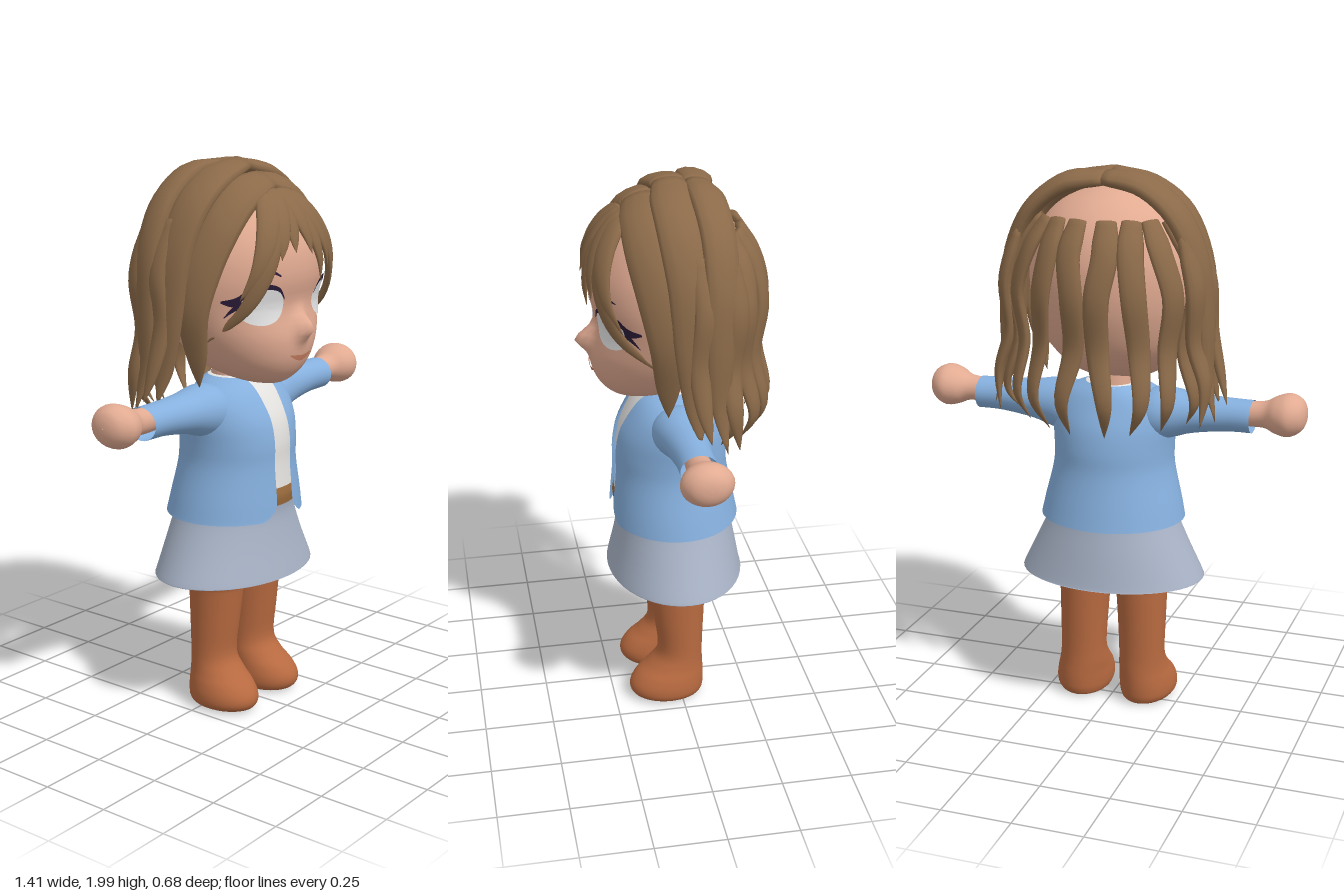
import * as THREE from 'three';
import { mergeVertices } from 'three/addons/utils/BufferGeometryUtils.js';

const V = (x, y, z) => new THREE.Vector3(x, y, z);

function material(name, color, side = THREE.FrontSide) {
  const m = new THREE.MeshStandardMaterial({ color, side });
  m.name = name;
  return m;
}

// Smooth surface from a rule p(u, v), with matching corners welded
function grid(nu, nv, p) {
  const pos = [], idx = [], w = nu + 1;
  for (let j = 0; j <= nv; j++) for (let i = 0; i <= nu; i++) pos.push(...p(i / nu, j).toArray());
  for (let j = 0; j < nv; j++) for (let i = 0; i < nu; i++) {
    const a = j * w + i;
    idx.push(a, a + 1, a + w + 1, a, a + w + 1, a + w);
  }
  let g = new THREE.BufferGeometry();
  g.setAttribute('position', new THREE.Float32BufferAttribute(pos, 3));
  g.setIndex(idx);
  g = mergeVertices(g, 1e-5);
  g.computeVertexNormals();
  return g;
}

// Adds in-between rows by Catmull-Rom
function smooth(rows, n = 4) {
  const out = [], at = i => rows[Math.max(0, Math.min(rows.length - 1, i))];
  for (let i = 0; i < rows.length - 1; i++) for (let k = 0; k < n; k++) {
    const t = k / n;
    out.push(at(i).map((b, c) => {
      const a = at(i - 1)[c], d = at(i + 1)[c], e = at(i + 2)[c];
      return b + 0.5 * t * (d - a + t * (2 * a - 5 * b + 4 * d - e + t * (3 * (b - d) + e - a)));
    }));
  }
  out.push(rows[rows.length - 1]);
  return out;
}

// Upright loft; rows are [y, centre x, half width, front z, back z], gap(y) opens the front
function loftY(rows, seg = 40, gap = null) {
  const r = smooth(rows);
  return grid(seg, r.length - 1, (u, j) => {
    const [y, cx, w, zf, zb] = r[j];
    const g = gap ? Math.asin(Math.min(0.9, gap(y) / w)) : 0;
    const a = g + u * (2 * Math.PI - 2 * g);
    return V(cx + w * Math.sin(a), y, (zf + zb) / 2 + (zf - zb) / 2 * Math.cos(a));
  });
}

// Sideways loft for the arms; rows are [x, y, half height, half depth]
function loftX(rows, s) {
  const r = smooth(rows);
  if (s < 0) r.reverse();
  return grid(28, r.length - 1, (u, j) => {
    const [x, y, h, d] = r[j], a = u * 2 * Math.PI;
    return V(s * x, y + h * Math.cos(a), 0.008 + d * Math.sin(a));
  });
}

// Flattened lock of hair along a curve, tapering to a point
function lock(points, width, thick, power = 4) {
  const curve = new THREE.CatmullRomCurve3(points), n = 26;
  return grid(12, n + 1, (u, j) => {
    const t = Math.max(0, j - 1) / n;
    const p = curve.getPoint(t), T = curve.getTangent(t);
    const N = p.clone().sub(V(0, Math.min(p.y, 1.6), 0));
    N.addScaledVector(T, -N.dot(T)).normalize();
    const B = T.clone().cross(N);
    const k = j === 0 ? 0 : Math.min(1, 0.75 + t * 2) * (1 - t ** power);
    const a = -u * 2 * Math.PI;
    return p.addScaledVector(B, -width * k * Math.cos(a)).addScaledVector(N, -thick * k * Math.sin(a));
  });
}

// Head rows: [y, half width, front z, back z]
const headRows = smooth([
  [1.215, 0.001, 0.17, 0.168], [1.222, 0.06, 0.21, 0.06], [1.245, 0.12, 0.245, -0.02], [1.28, 0.175, 0.275, -0.1],
  [1.33, 0.222, 0.295, -0.16], [1.4, 0.265, 0.3, -0.21], [1.5, 0.297, 0.28, -0.25], [1.6, 0.31, 0.3, -0.265],
  [1.7, 0.3, 0.29, -0.26], [1.8, 0.26, 0.24, -0.22], [1.87, 0.19, 0.17, -0.15], [1.91, 0.09, 0.09, -0.07], [1.92, 0.001, 0.02, 0.018],
]);
const middle = r => Math.max(0.05, (r[2] + r[3]) / 2);
const nose = (x, y) => 0.058 * Math.exp(-((x / 0.032) ** 2) - ((y - 1.43) / 0.04) ** 2);

// Depth of the face surface at a point
function faceZ(x, y) {
  let i = 1;
  while (i < headRows.length - 1 && headRows[i][0] < y) i++;
  const a = headRows[i - 1], b = headRows[i], t = Math.min(1, (y - a[0]) / (b[0] - a[0]));
  const r = a.map((v, k) => v + (b[k] - v) * t), c = middle(r);
  return c + (r[2] - c) * Math.sqrt(Math.max(0, 1 - (x / r[1]) ** 2)) + nose(x, y);
}

// Thin painted stroke on the face; points are [x, y, half thickness]
function stroke(points, lift) {
  const r = smooth(points, 5);
  return grid(2, r.length - 1, (u, j) => {
    const [x, y, h] = r[j], yy = y + (u * 2 - 1) * h;
    return V(x, yy, faceZ(x, yy) + lift);
  });
}

export function createModel() {
  const D = THREE.DoubleSide;
  const skin = material('skin', 0xe2ab92), hair = material('hair brown', 0x8b6a49);
  const blue = material('jacket blue', 0x86b0de, D), grey = material('skirt grey', 0xa8b3c6, D);
  const leather = material('boot leather', 0xb86a40), white = material('shirt white', 0xe6e4e1);
  const eyeWhite = material('eye white', 0xf2f2f2, D), dark = material('lash dark', 0x2b1c38, D);
  const lip = material('lip', 0xc98062, D), brown = material('belt brown', 0x9c6c3d);
  const model = new THREE.Group();
  const add = (name, geometry, mat) => {
    const m = new THREE.Mesh(geometry, mat);
    m.name = name;
    model.add(m);
    return m;
  };

  // Head and neck
  add('head', grid(96, headRows.length - 1, (u, j) => {
    const r = headRows[j], a = u * 2 * Math.PI, c = middle(r), x = r[1] * Math.sin(a), k = Math.cos(a);
    return V(x, r[0], c + k * (k > 0 ? r[2] - c : c - r[3]) + (k > 0 ? nose(x, r[0]) : 0));
  }), skin);
  add('neck', new THREE.CylinderGeometry(0.075, 0.085, 0.16, 28).translate(0, 1.23, 0), skin);

  // Face
  for (const s of [1, -1]) {
    const eye = new THREE.RingGeometry(0, 1, 36, 6), p = eye.attributes.position;
    for (let i = 0; i < p.count; i++) {
      const x = s * 0.16 + p.getX(i) * 0.077, y = 1.513 + p.getY(i) * 0.064;
      p.setXYZ(i, x, y, faceZ(x, y) + 0.006);
    }
    eye.computeVertexNormals();
    add('eye', eye, eyeWhite);
    add('upperLash', stroke([[0.085, 1.535, 0.003], [0.115, 1.57, 0.007], [0.165, 1.582, 0.009], [0.215, 1.568, 0.012],
      [0.245, 1.535, 0.016], [0.275, 1.535, 0.004]].map(([x, y, h]) => [s * x, y, h]), 0.009), dark);
    add('lashWing', stroke([[0.23, 1.525, 0.012], [0.25, 1.505, 0.01], [0.262, 1.48, 0.002]]
      .map(([x, y, h]) => [s * x, y, h]), 0.009), dark);
    add('eyebrow', stroke([[0.11, 1.615, 0.003], [0.16, 1.638, 0.007], [0.215, 1.628, 0.002]]
      .map(([x, y, h]) => [s * x, y, h]), 0.006), dark);
  }
  add('mouth', stroke([[-0.06, 1.335, 0.002], [-0.03, 1.325, 0.008], [0, 1.32, 0.01], [0.03, 1.325, 0.008], [0.06, 1.335, 0.002]], 0.006), lip);

  // Shirt, belt, jacket and skirt
  const coat = [[0.73, 0, 0.265, 0.24, -0.23], [0.8, 0, 0.25, 0.235, -0.215], [0.92, 0, 0.222, 0.225, -0.19], [1, 0, 0.22, 0.225, -0.185],
    [1.08, 0, 0.225, 0.21, -0.17], [1.15, 0, 0.215, 0.175, -0.14], [1.2, 0, 0.17, 0.14, -0.115], [1.23, 0, 0.1, 0.105, -0.09]];
  const shrink = (rows, k) => rows.map(([y, x, w, f, b]) => [y, x, w * k, f * k, b * k]);
  add('shirt', loftY([...shrink(coat.slice(1), 0.94), [1.232, 0, 0.001, 0.001, -0.001]]), white);
  add('belt', loftY(shrink([[0.775, 0, 0.245, 0.23, -0.21], [0.81, 0, 0.245, 0.235, -0.21], [0.84, 0, 0.24, 0.23, -0.205]], 0.965)), brown);
  add('jacket', loftY(coat, 56, y => 0.045 + 0.06 * Math.max(0, (0.8 - y) / 0.07) ** 2.5 + 0.01 * Math.max(0, (y - 1.1) / 0.13)), blue);
  add('skirt', loftY([[0.51, 0, 0.342, 0.25, -0.245], [0.525, 0, 0.337, 0.247, -0.24], [0.63, 0, 0.285, 0.225, -0.22],
    [0.73, 0, 0.24, 0.21, -0.2], [0.79, 0, 0.228, 0.215, -0.195]], 48), grey);
  add('hips', new THREE.SphereGeometry(1, 32, 20).scale(0.205, 0.1, 0.15).translate(0, 0.67, 0), skin);

  for (const s of [1, -1]) {
    // Arms
    add('sleeve', loftX([[0.1, 1.125, 0.07, 0.09], [0.17, 1.125, 0.095, 0.105], [0.23, 1.13, 0.088, 0.095], [0.3, 1.135, 0.072, 0.08],
      [0.42, 1.14, 0.06, 0.066], [0.515, 1.14, 0.058, 0.066]], s), blue);
    add('hand', loftX([[0.42, 1.15, 0.04, 0.04], [0.5, 1.15, 0.044, 0.044], [0.56, 1.153, 0.048, 0.052], [0.6, 1.156, 0.066, 0.078],
      [0.645, 1.158, 0.076, 0.09], [0.685, 1.16, 0.058, 0.066], [0.702, 1.16, 0.03, 0.034], [0.706, 1.16, 0.001, 0.001]], s), skin);
    // Legs and boots
    add('leg', loftY([[0.42, s * 0.112, 0.085, 0.095, -0.085], [0.52, s * 0.112, 0.09, 0.1, -0.092], [0.68, s * 0.11, 0.1, 0.12, -0.11]]), skin);
    add('boot', loftY([[0.004, s * 0.12, 0.001, 0.05, 0.048], [0.005, s * 0.12, 0.075, 0.15, -0.06], [0.025, s * 0.125, 0.1, 0.185, -0.083],
      [0.06, s * 0.125, 0.105, 0.19, -0.088], [0.1, s * 0.122, 0.1, 0.165, -0.088], [0.14, s * 0.117, 0.092, 0.12, -0.086],
      [0.2, s * 0.115, 0.085, 0.082, -0.085], [0.33, s * 0.113, 0.089, 0.095, -0.09], [0.455, s * 0.11, 0.094, 0.11, -0.096],
      [0.468, s * 0.11, 0.09, 0.106, -0.092], [0.468, s * 0.11, 0.001, 0.001, -0.001]]), leather);

    // Broad locks from the parting down the sides: [name, half width, half thickness, path]
    const sides = [
      ['rearCrownLock', 0.066, 0.032, [[0, 1.96, -0.08], [0.14, 1.94, -0.09], [0.26, 1.85, -0.1], [0.335, 1.7, -0.1], [0.365, 1.5, -0.09], [0.375, 1.3, -0.09], [0.41, 1.14, -0.11]]],
      ['middleCrownLock', 0.078, 0.032, [[0, 1.968, 0.02], [0.14, 1.93, 0.025], [0.25, 1.85, 0.02], [0.325, 1.7, 0.005], [0.355, 1.5, 0], [0.37, 1.3, -0.01], [0.4, 1.18, -0.02]]],
      ['frontCrownLock', 0.075, 0.03, [[0, 1.92, 0.13], [0.12, 1.885, 0.135], [0.22, 1.8, 0.13], [0.295, 1.66, 0.105], [0.325, 1.5, 0.08], [0.3, 1.34, 0.075], [0.28, 1.23, 0.07]]],
      ['outerSideLock', 0.04, 0.022, [[0.3, 1.8, -0.03], [0.365, 1.62, -0.04], [0.37, 1.45, -0.02], [0.405, 1.3, -0.03], [0.435, 1.19, -0.05]]],
      ['rearSideLock', 0.045, 0.025, [[0.3, 1.78, -0.13], [0.345, 1.6, -0.15], [0.34, 1.42, -0.13], [0.38, 1.27, -0.14], [0.37, 1.13, -0.16]]],
    ];
    for (const [name, w, t, path] of sides) add(name, lock(path.map(([x, y, z]) => V(s * x, y, z)), w, t), hair);

    // Wavy locks around the back
    for (const a of [0.16, 0.5, 0.83, 1.13]) {
      const path = [[1.83, 0.72], [1.72, 0.92], [1.58, 1.02], [1.4, 0.96], [1.22, 1.08], [1.09 + a * 0.03, 0.92]];
      add('backLock', lock(path.map(([y, r], i) => {
        const b = a + 0.05 * Math.sin(i * 1.6 + a * 5);
        return V(s * 0.36 * r * Math.sin(b), y, -0.3 * r * Math.cos(b));
      }), 0.046, 0.022), hair);
    }
  }

  // Fringe locks, given by their tips
  const tips = [[-0.265, 1.38], [-0.25, 1.54], [-0.2, 1.64], [-0.13, 1.67], [-0.06, 1.69], [0.015, 1.68],
    [0.085, 1.58], [0.14, 1.62], [0.205, 1.62], [0.25, 1.53], [0.268, 1.38]];
  tips.forEach(([tx, ty], k) => {
    const path = [0, 0.2, 0.4, 0.6, 0.8, 1].map(t => {
      const x = tx * (0.1 + 0.9 * t ** 0.75), y = 1.885 - (1.885 - ty) * t ** 1.35;
      return V(x, y, faceZ(x, y) + 0.028 + 0.006 * (k % 2));
    });
    add('fringeLock', lock(path, 0.046, 0.018, 3), hair);
  });
  return model;
}
